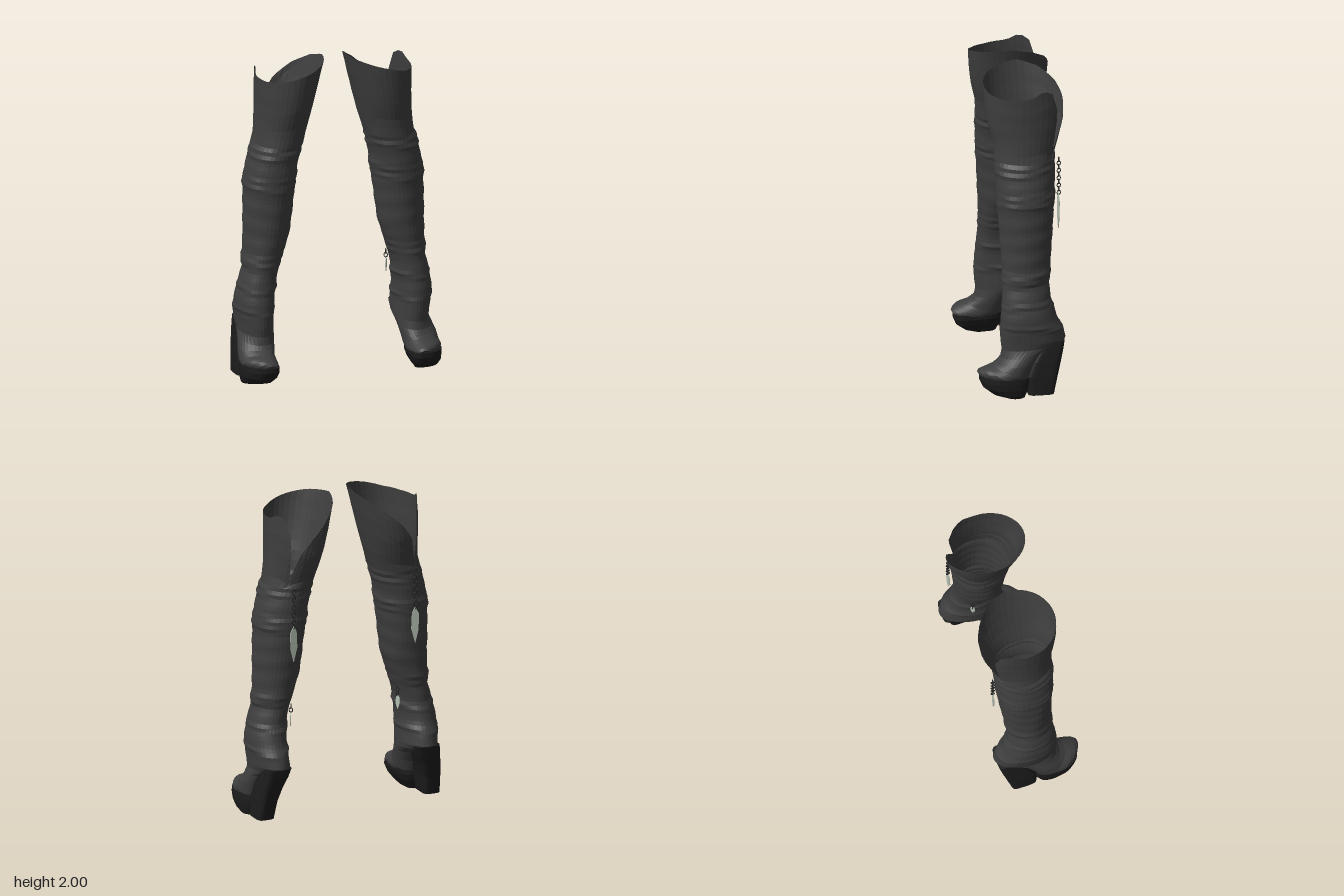
import * as THREE from 'three';

const leather = new THREE.MeshStandardMaterial({ color: 0x3e3e3e, side: THREE.DoubleSide });
leather.name = 'charcoal leather';
const rubber = new THREE.MeshStandardMaterial({ color: 0x1c1c1c });
rubber.name = 'black sole';
const metal = new THREE.MeshStandardMaterial({ color: 0x262626 });
metal.name = 'dark metal';
const feather = new THREE.MeshStandardMaterial({ color: 0xb4bfb2, side: THREE.DoubleSide });
feather.name = 'pale feather';

const COLS = 36, CUFF = 1.48;
const lerp = THREE.MathUtils.lerp;

// Interpolate a table of rows by its first column
function sample(table, k) {
  let i = 0;
  while (i < table.length - 2 && k > table[i + 1][0]) i++;
  const a = table[i], b = table[i + 1];
  const t = THREE.MathUtils.clamp((k - a[0]) / (b[0] - a[0]), 0, 1);
  return a.map((v, n) => lerp(v, b[n], t));
}

// Point on a ring: back and front ends in z/y, x limits, corner power, toe skew
function ringPoint(r, a, grow = 0) {
  const { back, front, x0, x1, p = 1, skew = 0 } = r;
  const c = Math.cos(a), s = Math.sin(a);
  const u = Math.sign(c) * Math.abs(c) ** p, v = Math.sign(s) * Math.abs(s) ** p;
  const t = (v * (1 + grow * 4) + 1) / 2;
  return [
    (x0 + x1) / 2 + u * ((x1 - x0) / 2 + grow) - skew * Math.max(0, v) ** 2,
    lerp(back[1], front[1], t), lerp(back[0], front[0], t),
  ];
}

// Faceted skin through rows of points, with optional end caps
function skin(rows, capTop) {
  const pos = [], idx = [], n = rows[0].length;
  rows.forEach(r => r.forEach(q => pos.push(...q)));
  for (let i = 0; i < rows.length - 1; i++) for (let j = 0; j < n; j++) {
    const k = (j + 1) % n, a = i * n + j, b = i * n + k;
    idx.push(a, a + n, b, b, a + n, b + n);
  }
  const cap = (i, flip) => {
    const c = pos.length / 3, m = [0, 1, 2].map(d => rows[i].reduce((s, q) => s + q[d], 0) / n);
    pos.push(...m);
    for (let j = 0; j < n; j++) {
      const a = i * n + j, b = i * n + (j + 1) % n;
      idx.push(c, ...(flip ? [b, a] : [a, b]));
    }
  };
  cap(0, false);
  if (capTop) cap(rows.length - 1, true);
  const g = new THREE.BufferGeometry();
  g.setAttribute('position', new THREE.Float32BufferAttribute(pos, 3));
  g.setIndex(idx);
  const flat = g.toNonIndexed();
  flat.computeVertexNormals();
  return flat;
}

const ringOf = (r, n = COLS) => Array.from({ length: n }, (_, j) => ringPoint(r, j / n * Math.PI * 2));

// Leg profile: y, inner x, outer x, back z, front z
const leg = [
  [0.40, 0.385, 0.615, -0.25, 0.145], [0.48, 0.385, 0.625, -0.21, 0.142],
  [0.60, 0.375, 0.605, -0.172, 0.13], [0.70, 0.36, 0.58, -0.162, 0.125],
  [0.76, 0.34, 0.58, -0.17, 0.122], [0.90, 0.29, 0.575, -0.182, 0.13],
  [1.00, 0.275, 0.575, -0.192, 0.135], [1.25, 0.245, 0.57, -0.208, 0.15],
  [1.40, 0.225, 0.54, -0.212, 0.158], [1.50, 0.20, 0.505, -0.21, 0.155],
  [1.60, 0.17, 0.495, -0.24, 0.165], [1.70, 0.145, 0.49, -0.27, 0.19],
  [1.82, 0.115, 0.49, -0.28, 0.205], [2.00, 0.07, 0.485, -0.27, 0.215],
];

// Foot rings from toe to ankle: back z, back y, front z, front y, x limits, toe skew
const foot = [
  [0.25, 0.11, 0.283, 0.15, 0.455, 0.53, 0], [0.20, 0.09, 0.272, 0.165, 0.437, 0.572, 0],
  [0.13, 0.08, 0.25, 0.178, 0.428, 0.608, 0], [0.05, 0.08, 0.225, 0.187, 0.422, 0.634, 0.01],
  [-0.03, 0.11, 0.19, 0.198, 0.42, 0.635, 0.02], [-0.07, 0.20, 0.16, 0.215, 0.41, 0.63, 0.02],
  [-0.13, 0.28, 0.14, 0.24, 0.40, 0.615, 0.01], [-0.22, 0.325, 0.132, 0.29, 0.39, 0.602, 0],
  [-0.258, 0.35, 0.14, 0.345, 0.388, 0.608, 0],
];

// Rim height by angle in degrees; the dip at 300 is the rear slit
const rim = [
  [0, 1.90], [30, 1.895], [60, 1.905], [90, 1.935], [135, 1.975], [180, 2.0], [210, 1.965],
  [240, 1.90], [270, 1.80], [290, 1.70], [300, 1.54], [310, 1.80], [320, 1.91], [335, 1.945],
  [350, 1.91], [360, 1.90],
];

// Gathered folds and soft creases in the leather
function crease(y, a) {
  let g = 0;
  for (const b of [0.36, 0.44, 0.58, 0.73, 0.77, 1.22, 1.27, 1.42, 1.47])
    g += 0.008 * Math.exp(-(((y - b + 0.012 * Math.sin(2 * a + b * 9)) / 0.014) ** 2));
  return g + 0.004 * Math.sin(3 * a + y * 23) * Math.sin(y * 31 - 2 * a) - 0.003;
}

function legPoint(y, a, amount = 1) {
  const [, x0, x1, zb, zf] = sample(leg, y);
  return ringPoint({ back: [zb, y], front: [zf, y], x0, x1 }, a, crease(y, a) * amount);
}

function bootUpper() {
  const rows = foot.map(([bz, by, fz, fy, x0, x1, skew]) =>
    ringOf({ back: [bz, by], front: [fz, fy], x0, x1, skew }));
  const angles = Array.from({ length: COLS }, (_, j) => j / COLS * Math.PI * 2);
  for (let i = 0; i <= 46; i++) {
    const y = lerp(0.40, CUFF, i / 46);
    rows.push(angles.map(a => legPoint(y, a)));
  }
  // Cuff rows stretch up to the uneven rim
  for (let i = 1; i <= 8; i++) rows.push(angles.map(a => {
    const h = sample(rim, a * 180 / Math.PI)[1];
    return legPoint(lerp(CUFF, h, i / 8), a, 0.3);
  }));
  return skin(rows, false);
}

// Horizontal rings: y, x limits, z limits
const block = (rings, p, skew) => skin(rings.map(([y, x0, x1, z0, z1]) =>
  ringOf({ back: [z0, y], front: [z1, y], x0, x1, p, skew }, 28)), true);

function add(group, name, geometry, material) {
  const m = new THREE.Mesh(geometry, material);
  m.name = name;
  group.add(m);
  return m;
}

// Hanging chain of links ending in a feather
function charm(name, x, z, top, bottom, tip, width, turn) {
  const g = new THREE.Group();
  g.name = name;
  const count = Math.round((top - bottom) / 0.024);
  for (let i = 0; i < count; i++) {
    const link = add(g, 'chainLink', new THREE.TorusGeometry(0.011, 0.003, 5, 8), metal);
    link.scale.y = 1.3;
    link.position.y = top - (i + 0.5) * 0.024;
    link.rotation.y = i % 2 ? Math.PI / 2 : 0;
  }
  const h = bottom - tip, s = new THREE.Shape();
  s.moveTo(0, bottom);
  s.lineTo(width * 0.5, bottom - h * 0.2);
  s.lineTo(width * 0.42, bottom - h * 0.65);
  s.lineTo(0, tip);
  s.lineTo(-width * 0.5, bottom - h * 0.6);
  s.lineTo(-width * 0.4, bottom - h * 0.15);
  add(g, 'feather', new THREE.ExtrudeGeometry(s, { depth: 0.005, bevelEnabled: false }), feather);
  g.position.set(x, 0, z);
  g.rotation.y = turn;
  return g;
}

function boot(name) {
  const g = new THREE.Group();
  g.name = name;
  add(g, 'upper', bootUpper(), leather);
  add(g, 'platformSole', block([
    [0, 0.485, 0.615, 0, 0.13], [0.02, 0.468, 0.625, -0.01, 0.20],
    [0.06, 0.442, 0.634, -0.03, 0.253], [0.10, 0.428, 0.636, -0.04, 0.27],
    [0.13, 0.43, 0.634, -0.04, 0.27],
  ], 0.75, 0.035), rubber);
  add(g, 'wedgeHeel', block([
    [0.015, 0.505, 0.615, -0.175, -0.015], [0.13, 0.49, 0.61, -0.2, -0.01],
    [0.22, 0.465, 0.6, -0.222, -0.04], [0.29, 0.435, 0.59, -0.238, -0.08],
    [0.345, 0.42, 0.58, -0.248, -0.12],
  ], 0.45, 0), rubber);
  g.add(charm('rearCharm', 0.41, -0.232, 1.48, 1.25, 1.02, 0.05, 0.1));
  g.add(charm('ankleCharm', 0.36, -0.09, 0.70, 0.65, 0.56, 0.03, Math.PI / 3));
  return g;
}

export function createModel() {
  const model = new THREE.Group();
  model.name = 'tallBoots';
  const left = boot('leftBoot'), right = boot('rightBoot');
  right.scale.x = -1;
  model.add(left, right);
  return model;
}
